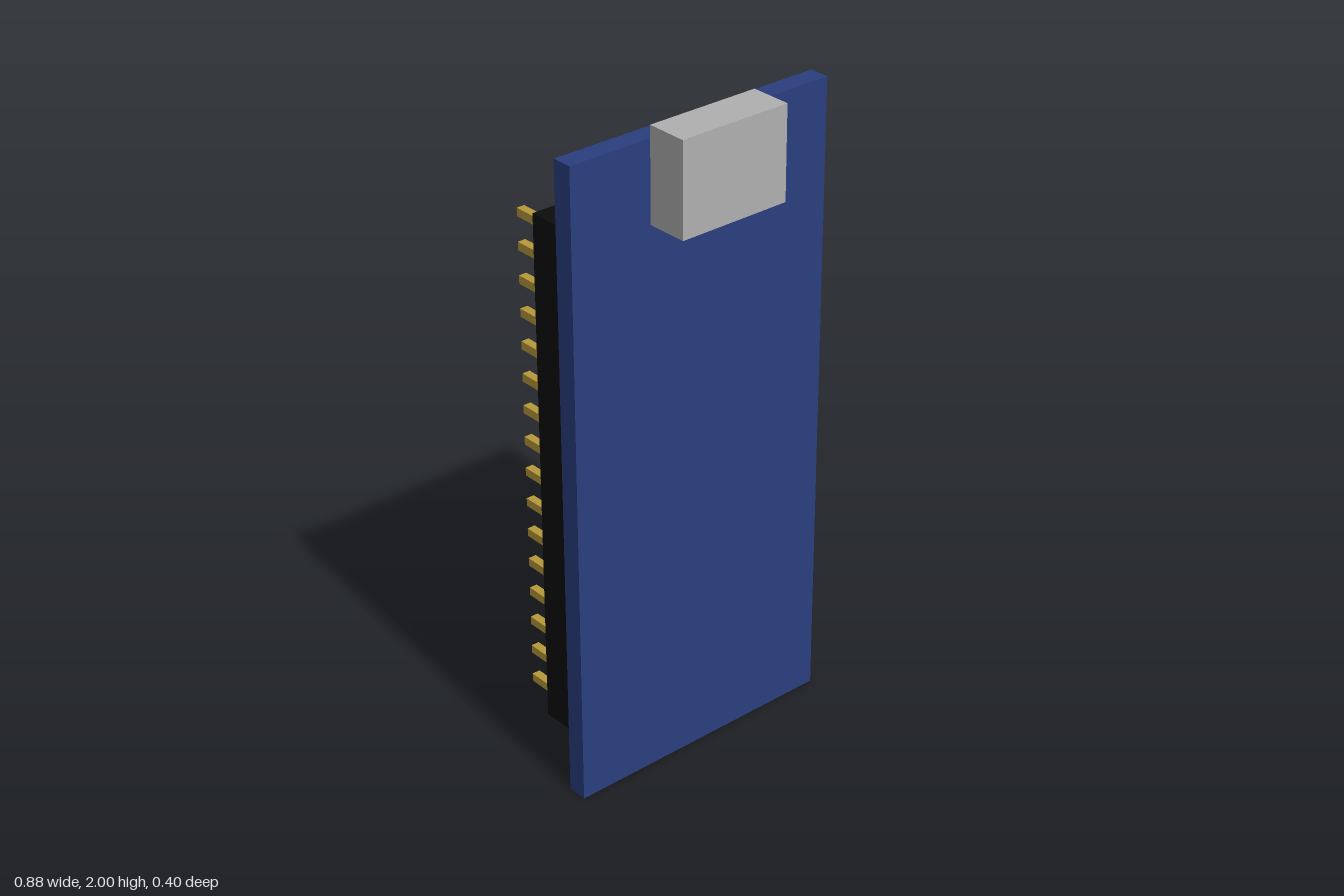
import * as THREE from 'three';

const mat = (name, color) => {
  const m = new THREE.MeshStandardMaterial({ color });
  m.name = name;
  return m;
};

// Box given by its min and max on each axis
function box(name, material, [x0, x1], [y0, y1], [z0, z1]) {
  const mesh = new THREE.Mesh(new THREE.BoxGeometry(x1 - x0, y1 - y0, z1 - z0), material);
  mesh.position.set((x0 + x1) / 2, (y0 + y1) / 2, (z0 + z1) / 2);
  mesh.name = name;
  return mesh;
}

export function createModel() {
  const blue = mat('board blue', 0x2a3f7f);
  const grey = mat('connector grey', 0xb0b0b2);
  const black = mat('header black', 0x0d0d0d);
  const gold = mat('pin gold', 0xb89a3a);

  const model = new THREE.Group();
  model.name = 'microcontrollerBoard';

  // Circuit board and the socket overhanging its top edge
  model.add(box('circuitBoard', blue, [-0.4425, 0.4385], [0, 1.963], [0.0115, 0.0735]));
  model.add(box('usbSocket', grey, [-0.18, 0.176], [1.72, 2], [0.0735, 0.2]));

  // Pin headers on the back: one square block with a pin per pitch
  const pitch = 0.0981, base = 0.208, half = 0.0123;
  function pinHeader(name, x, count) {
    const group = new THREE.Group();
    group.name = name;
    group.add(box('headerBlock', black, [x - pitch / 2, x + pitch / 2],
      [base, base + count * pitch], [-0.0855, 0.0115]));
    for (let i = 0; i < count; i++) {
      const y = base + (i + 0.5) * pitch;
      group.add(box('pin', gold, [x - half, x + half], [y - half, y + half], [-0.2, -0.0855]));
    }
    return group;
  }
  model.add(pinHeader('shortPinHeader', 0.3928, 12));
  model.add(pinHeader('longPinHeader', -0.391, 16));

  return model;
}
